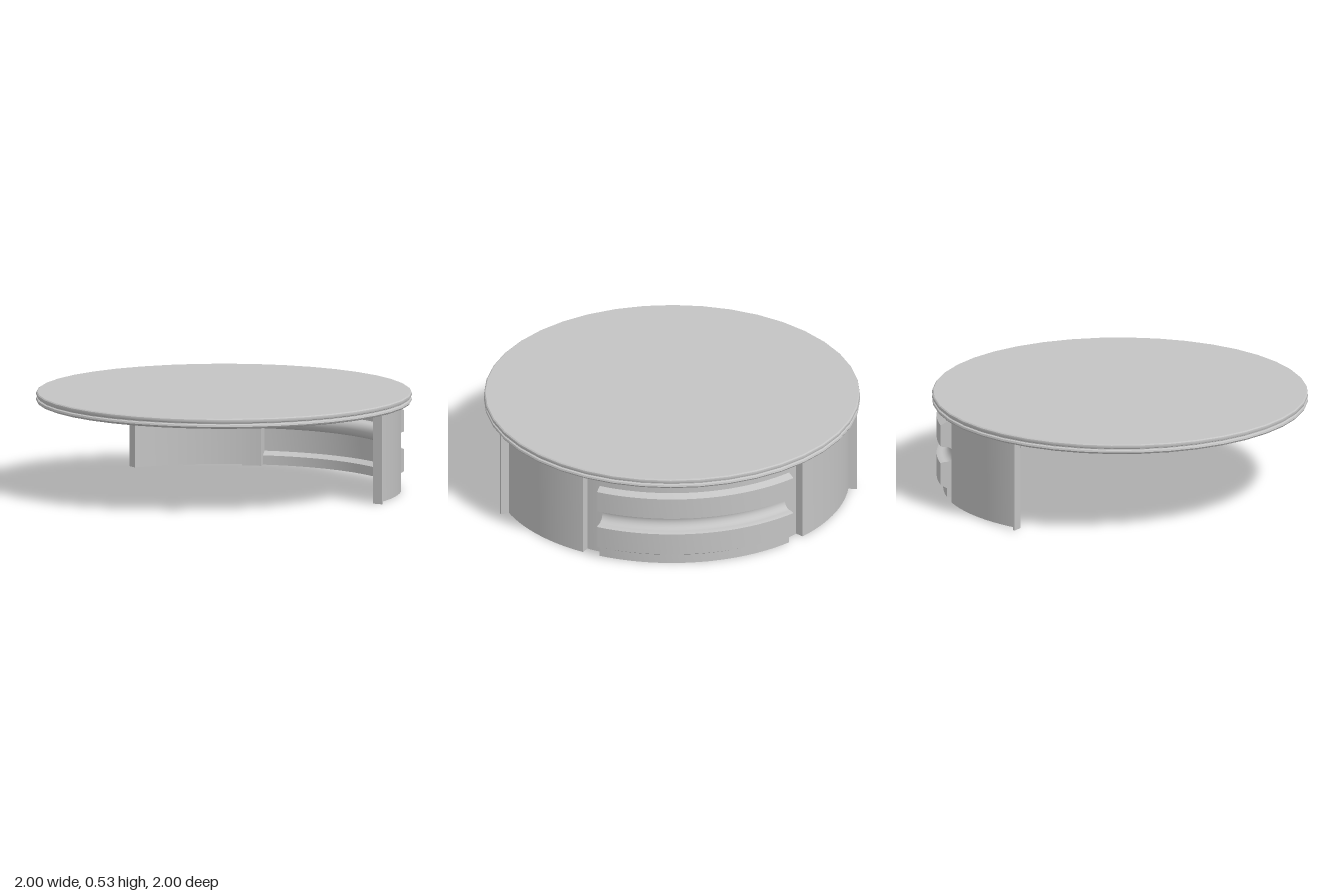
import * as THREE from 'three';
import { toCreasedNormals } from 'three/addons/utils/BufferGeometryUtils.js';

const rad = THREE.MathUtils.degToRad;
const HEIGHT = 0.476; // underside of the top
const SPLIT = 57.2;   // angle where the grooved back panel ends

export function createModel() {
  const group = new THREE.Group();
  const grey = new THREE.MeshStandardMaterial({ color: 0xc4c4c4, side: THREE.DoubleSide });
  grey.name = 'light grey';

  const add = (name, geometry, parent = group) => {
    const mesh = new THREE.Mesh(geometry, grey);
    mesh.name = name;
    parent.add(mesh);
    return mesh;
  };

  // Upright wall with a ring-sector plan; angles run from +x towards the back
  const wall = (r0, r1, a0, a1) => {
    const shape = new THREE.Shape();
    shape.absarc(0, 0, r1, rad(a0), rad(a1), false);
    shape.absarc(0, 0, r0, rad(a1), rad(a0), true);
    const geo = new THREE.ExtrudeGeometry(shape, { depth: HEIGHT, bevelEnabled: false, curveSegments: 16 });
    return toCreasedNormals(geo.rotateX(-Math.PI / 2), 0.5);
  };

  // Round top with a double-beaded rim
  const rim = [
    [0, 0.475], [0.985, 0.475], [0.995, 0.479], [1, 0.487], [0.997, 0.496], [0.988, 0.5],
    [0.988, 0.504], [0.997, 0.508], [1, 0.516], [0.998, 0.525], [0.992, 0.53], [0, 0.53],
  ].map(([r, y]) => new THREE.Vector2(r, y));
  add('tableTop', toCreasedNormals(new THREE.LatheGeometry(rim, 40), 0.6));

  // Outer profile of the back panel: recessed base, two bands, round groove, recessed top
  const outer = [[0.94, 0], [0.94, 0.05], [0.975, 0.07], [0.975, 0.19], [0.96, 0.195]];
  for (let i = 0; i <= 10; i++) {
    const t = (i / 10) * Math.PI;
    outer.push([0.947 - 0.042 * Math.sin(t), 0.237 - 0.042 * Math.cos(t)]);
  }
  outer.push([0.96, 0.279], [0.975, 0.284], [0.975, 0.4], [0.94, 0.42], [0.94, HEIGHT]);

  // Back panel shell swept round the rear
  const inner = outer.map(([r, y]) => [r - 0.01, y]).reverse();
  const shell = [...outer, ...inner, outer[0]].map(([r, y]) => new THREE.Vector2(r, y));
  const half = rad(90 - SPLIT);
  add('backPanel', toCreasedNormals(
    new THREE.LatheGeometry(shell, 24, Math.PI - half, half * 2), 0.6));

  // Flat plate closing each end of the back panel
  const endShape = new THREE.Shape(
    [[0.886, 0], ...outer, [0.886, HEIGHT]].map(([r, y]) => new THREE.Vector2(r, y)));

  // Side legs, mirrored left and right
  for (const [side, sign] of [['left', 1], ['right', -1]]) {
    const leg = new THREE.Group();
    leg.name = side + 'Leg';
    group.add(leg);
    const span = (a0, a1) => (sign > 0 ? [a0, a1] : [180 - a1, 180 - a0]);

    add('sidePanel', wall(0.932, 0.942, ...span(13.9, 51)), leg);
    add('frontFlange', wall(0.932, 0.988, ...span(13.8, 14.4)), leg);
    add('stepWall', wall(0.886, 0.942, ...span(50.5, 51.2)), leg);
    add('recessedPost', wall(0.886, 0.896, ...span(50.5, SPLIT)), leg);
    const plate = add('panelEnd', new THREE.ShapeGeometry(endShape), leg);
    plate.rotation.y = rad(sign > 0 ? SPLIT : 180 - SPLIT);
  }
  return group;
}
